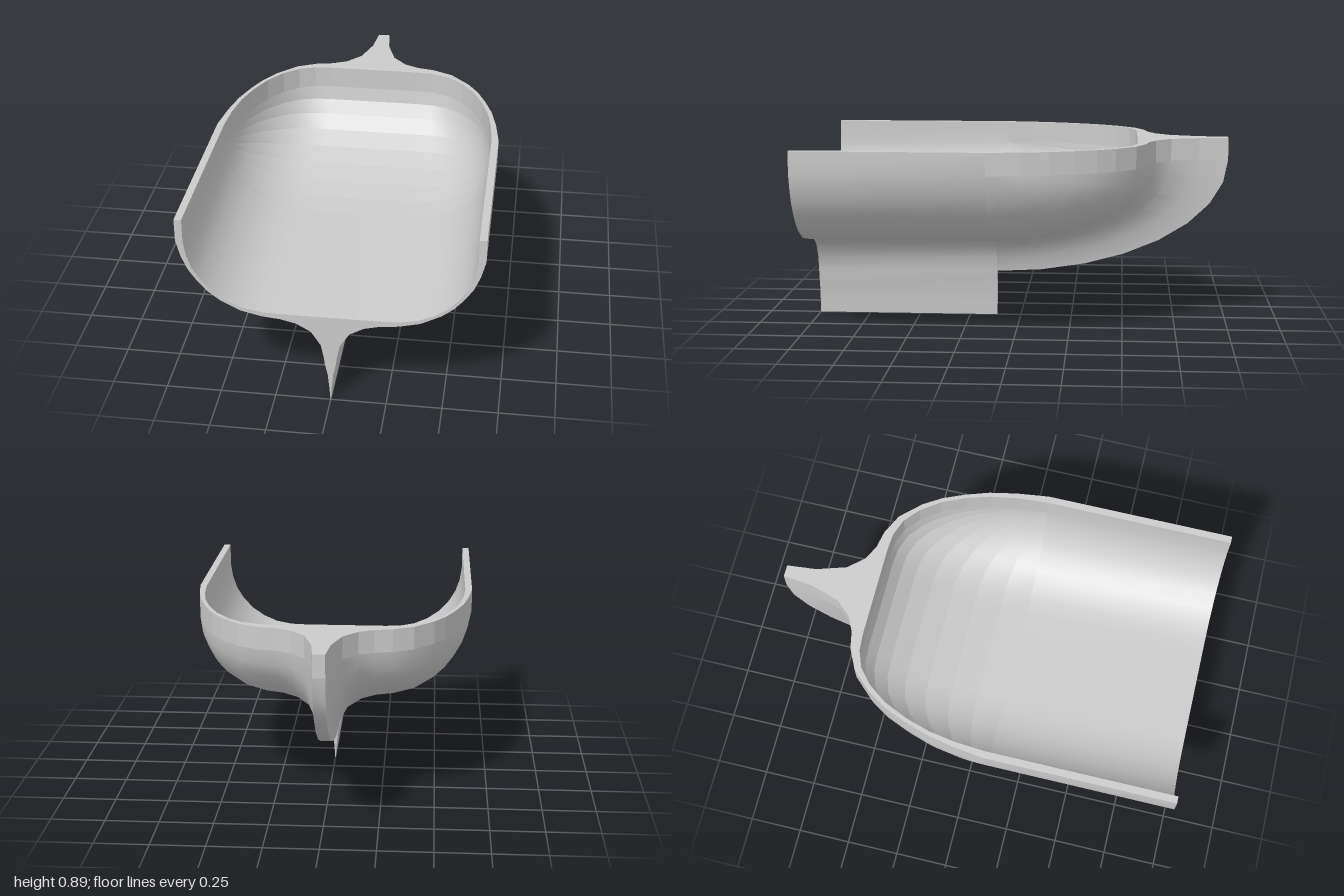
import * as THREE from 'three';
import { toCreasedNormals, mergeGeometries } from 'three/addons/utils/BufferGeometryUtils.js';

const RIM = 0.89, AXIS = 0.785, Z0 = 0.115; // rim height, sweep axis height and depth
const STRETCH = 1.115 / (AXIS - 0.225);     // the stern is swept along an ellipse
const STEPS = 8, CREASE = 0.5;

// Half profiles from the side down to the middle, [x, y]
const outer = [[0.665, AXIS], [0.645, 0.708], [0.618, 0.643], [0.58, 0.587], [0.537, 0.537], [0.484, 0.495],
  [0.395, 0.448], [0.3, 0.425], [0.22, 0.417], [0.15, 0.4], [0.085, 0.363], [0.042, 0.295], [0.028, 0.225]];
const inner = [[0.632, AXIS], [0.622, 0.715], [0.6, 0.65], [0.566, 0.594], [0.515, 0.537], [0.45, 0.492],
  [0.38, 0.462], [0.3, 0.447], [0.22, 0.444]];
const skeg = [[0.025, 0.196], [0.012, 0.135], [0.005, 0.06], [0.001, 0]];

// Runs a half profile from +x through the middle to -x
const mirror = (half) => [...half, ...half.map(([x, y]) => [-x, y]).reverse()];
const shapeOf = (pts) => new THREE.Shape(pts.map(([x, y]) => new THREE.Vector2(x, y)));

// Swept surface between two step numbers of the quarter ellipse
function sweep(pts, from, to) {
  const pos = [], index = [], n = pts.length;
  for (let s = from; s <= to; s++) {
    const a = (s / STEPS) * Math.PI / 2;
    for (const [x, y] of pts) {
      const d = AXIS - y;
      pos.push(x, AXIS - d * Math.cos(a), Z0 - d * STRETCH * Math.sin(a));
    }
  }
  for (let s = 0; s < to - from; s++) {
    for (let i = 0; i < n - 1; i++) {
      const a = s * n + i, b = a + 1, c = a + n, d = c + 1;
      index.push(a, b, c, b, d, c);
    }
  }
  const g = new THREE.BufferGeometry();
  g.setAttribute('position', new THREE.Float32BufferAttribute(pos, 3));
  g.setIndex(index);
  g.computeVertexNormals();
  return g;
}

export function createModel() {
  const group = new THREE.Group();
  const material = new THREE.MeshStandardMaterial({ color: 0xcccccc });
  const add = (name, geometry) => {
    const mesh = new THREE.Mesh(geometry, material);
    mesh.name = name;
    group.add(mesh);
  };

  // Straight forward hull with its thin skeg
  const section = [...mirror([[0.665, RIM], ...outer, ...skeg]), ...mirror([[0.632, RIM], ...inner]).reverse()];
  const hull = new THREE.ExtrudeGeometry(shapeOf(section), { depth: 1 - Z0, bevelEnabled: false });
  hull.translate(0, 0, Z0);
  add('forwardHull', toCreasedNormals(hull, CREASE));

  // Rounded stern, smooth outside and banded inside
  add('sternOuterSkin', toCreasedNormals(sweep(mirror(outer), 0, STEPS), CREASE));
  const bands = [];
  for (let s = 0; s < STEPS; s++) bands.push(sweep(mirror(inner).reverse(), s, s + 1));
  add('sternInnerSkin', mergeGeometries(bands));

  // Upright wall and rim around the stern
  const outline = [...mirror(outer), ...mirror(inner).reverse()].map(([x, y]) => [x, (AXIS - y) * STRETCH]);
  const wall = new THREE.ExtrudeGeometry(shapeOf(outline), { depth: RIM - AXIS, bevelEnabled: false });
  wall.rotateX(-Math.PI / 2);
  wall.translate(0, AXIS, Z0);
  add('sternRim', wall);

  return group;
}
